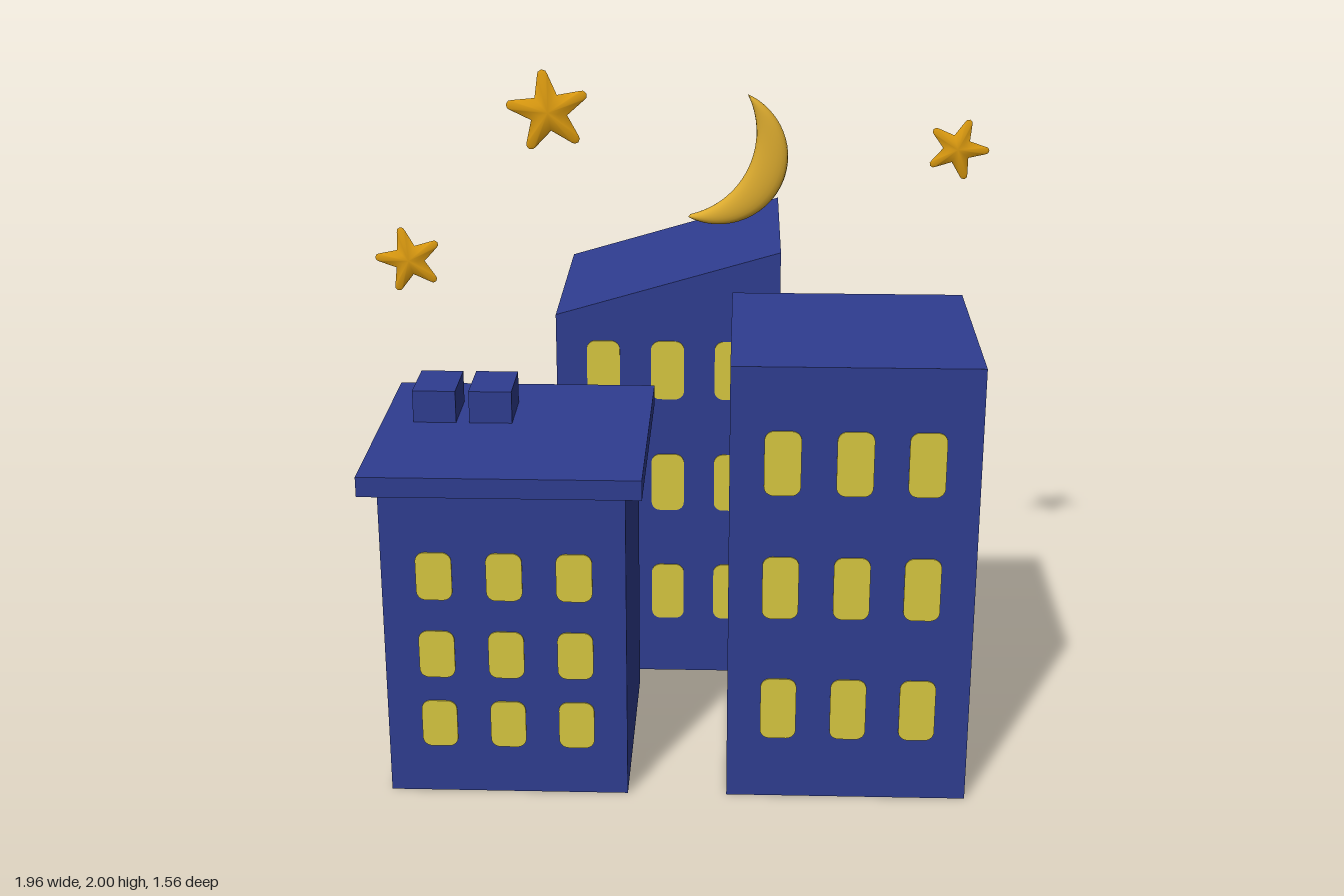
import * as THREE from 'three';

const wallBlue = new THREE.MeshStandardMaterial({ color: 0x2f3d90 });
const windowYellow = new THREE.MeshStandardMaterial({ color: 0xd6c640 });
const moonGold = new THREE.MeshStandardMaterial({ color: 0xdcab2f });
const starGold = new THREE.MeshStandardMaterial({ color: 0xdb9a10 });

function add(parent, name, geometry, material) {
  const mesh = new THREE.Mesh(geometry, material);
  mesh.name = name;
  parent.add(mesh);
  return mesh;
}

// Box given by its minimum and maximum on each axis
function block(parent, name, [x0, x1], [y0, y1], [z0, z1]) {
  const mesh = add(parent, name, new THREE.BoxGeometry(x1 - x0, y1 - y0, z1 - z0), wallBlue);
  mesh.position.set((x0 + x1) / 2, (y0 + y1) / 2, (z0 + z1) / 2);
}

// Rounded window panes in a grid on a front wall
function windows(parent, columns, rows, height, z) {
  const w = 0.0525, h = height / 2, r = 0.028;
  const s = new THREE.Shape();
  s.absarc(w - r, h - r, r, 0, Math.PI / 2);
  s.absarc(r - w, h - r, r, Math.PI / 2, Math.PI);
  s.absarc(r - w, r - h, r, Math.PI, Math.PI * 1.5);
  s.absarc(w - r, r - h, r, Math.PI * 1.5, Math.PI * 2);
  const pane = new THREE.ExtrudeGeometry(s, { depth: 0.004, bevelEnabled: false, curveSegments: 5 });
  for (const x of columns) for (const y of rows) {
    add(parent, 'window', pane, windowYellow).position.set(x, y, z);
  }
}

// Indexed geometry from points and triangles, with smooth normals
function meshGeometry(points, index) {
  const g = new THREE.BufferGeometry();
  g.setAttribute('position', new THREE.Float32BufferAttribute(points, 3));
  g.setIndex(index);
  g.computeVertexNormals();
  return g;
}

// Crescent: rounded cross-sections between an outer and an inner arc
function crescentGeometry() {
  const stations = 40, sides = 20, points = [], index = [];
  const outer = { x: 0.13, y: 1.78, r: 0.21, a: -2.03, b: 1.15 };
  const inner = { x: -0.02, y: 1.855, r: 0.263, a: -1.33, b: 0.45 };
  const at = (arc, t) => {
    const a = arc.a + (arc.b - arc.a) * t;
    return [arc.x + arc.r * Math.cos(a), arc.y + arc.r * Math.sin(a)];
  };
  for (let i = 0; i <= stations; i++) {
    const t = (1 - Math.cos(Math.PI * i / stations)) / 2;
    const [ox, oy] = at(outer, t), [ix, iy] = at(inner, t);
    const depth = 0.028 * Math.pow(Math.sin(Math.PI * t), 0.3);
    for (let j = 0; j < sides; j++) {
      const a = j / sides * Math.PI * 2;
      const c = Math.cos(a), s = Math.sin(a), k = (1 + c) / 2;
      points.push(ix + (ox - ix) * k, iy + (oy - iy) * k,
        0.002 + depth * Math.sign(s) * Math.pow(Math.abs(s), 0.8));
      if (i < stations) {
        const n = (j + 1) % sides, p = i * sides;
        index.push(p + j, p + sides + j, p + n, p + n, p + sides + j, p + sides + n);
      }
    }
  }
  return meshGeometry(points, index);
}

// Unit star with blunt tips, swelling to a low peak on both faces
function starGeometry() {
  const outline = [];
  for (let i = 0; i < 5; i++) {
    const a = i * Math.PI * 2 / 5, c = Math.cos(a), s = Math.sin(a);
    for (const [u, v] of [[0.88, -0.12], [0.96, -0.09], [1, 0], [0.96, 0.09], [0.88, 0.12]]) {
      outline.push([u * c - v * s, u * s + v * c]);
    }
    const b = a + Math.PI / 5;
    outline.push([0.45 * Math.cos(b), 0.45 * Math.sin(b)]);
  }
  const n = outline.length, points = [], index = [];
  for (const side of [1, -1]) {
    const base = points.length / 3;
    for (const [scale, z] of [[1, 0], [0.9, 0.04], [0.5, 0.105]]) {
      for (const [x, y] of outline) points.push(x * scale, y * scale, z * side);
    }
    points.push(0, 0, 0.15 * side);
    const tri = (a, b, c) => index.push(base + a, base + (side > 0 ? b : c), base + (side > 0 ? c : b));
    for (let j = 0; j < n; j++) {
      const k = (j + 1) % n;
      for (const r of [0, n]) {
        tri(r + j, r + k, r + n + j);
        tri(r + k, r + n + k, r + n + j);
      }
      tri(2 * n + j, 2 * n + k, 3 * n);
    }
  }
  return meshGeometry(points, index);
}

export function createModel() {
  const model = new THREE.Group();
  model.name = 'nightCity';
  const group = (name) => {
    const g = new THREE.Group();
    g.name = name;
    model.add(g);
    return g;
  };

  // Low block with an overhanging roof and two rooftop boxes
  const low = group('lowBuilding');
  block(low, 'lowWalls', [-0.83, -0.12], [0, 0.97], [0.02, 0.73]);
  block(low, 'roofSlab', [-0.88, -0.07], [0.97, 1.03], [-0.03, 0.78]);
  for (const x of [-0.785, -0.615]) block(low, 'roofBox', [x, x + 0.13], [1.03, 1.13], [0.14, 0.33]);
  windows(low, [-0.677, -0.473, -0.27], [0.227, 0.455, 0.705], 0.15, 0.73);

  // Tall block with a flat roof
  const rows = [0.293, 0.683, 1.068];
  const tall = group('tallBuilding');
  block(tall, 'tallWalls', [0.175, 0.885], [0, 1.355], [0.018, 0.728]);
  windows(tall, [0.325, 0.53, 0.733], rows, 0.195, 0.728);

  // Rear block with a slanted roof
  const rear = group('slantedBuilding');
  const profile = new THREE.Shape([[-0.385, 0], [0.325, 0], [0.325, 1.46], [-0.385, 1.25]]
    .map(([x, y]) => new THREE.Vector2(x, y)));
  add(rear, 'slantedWalls', new THREE.ExtrudeGeometry(profile, { depth: 0.71, bevelEnabled: false }), wallBlue)
    .position.z = -0.78;
  windows(rear, [-0.235, -0.03, 0.173], rows, 0.195, -0.07);

  // Moon and stars above the roofs
  add(model, 'moon', crescentGeometry(), moonGold);
  const star = starGeometry();
  for (const [x, y, radius, degrees] of [
    [-0.412, 1.865, 0.135, 98], [-0.873, 1.378, 0.111, 104], [0.877, 1.756, 0.1, 69],
  ]) {
    const mesh = add(model, 'star', star, starGold);
    mesh.position.set(x, y, -0.24);
    mesh.scale.setScalar(radius);
    mesh.rotation.z = THREE.MathUtils.degToRad(degrees);
  }
  return model;
}
